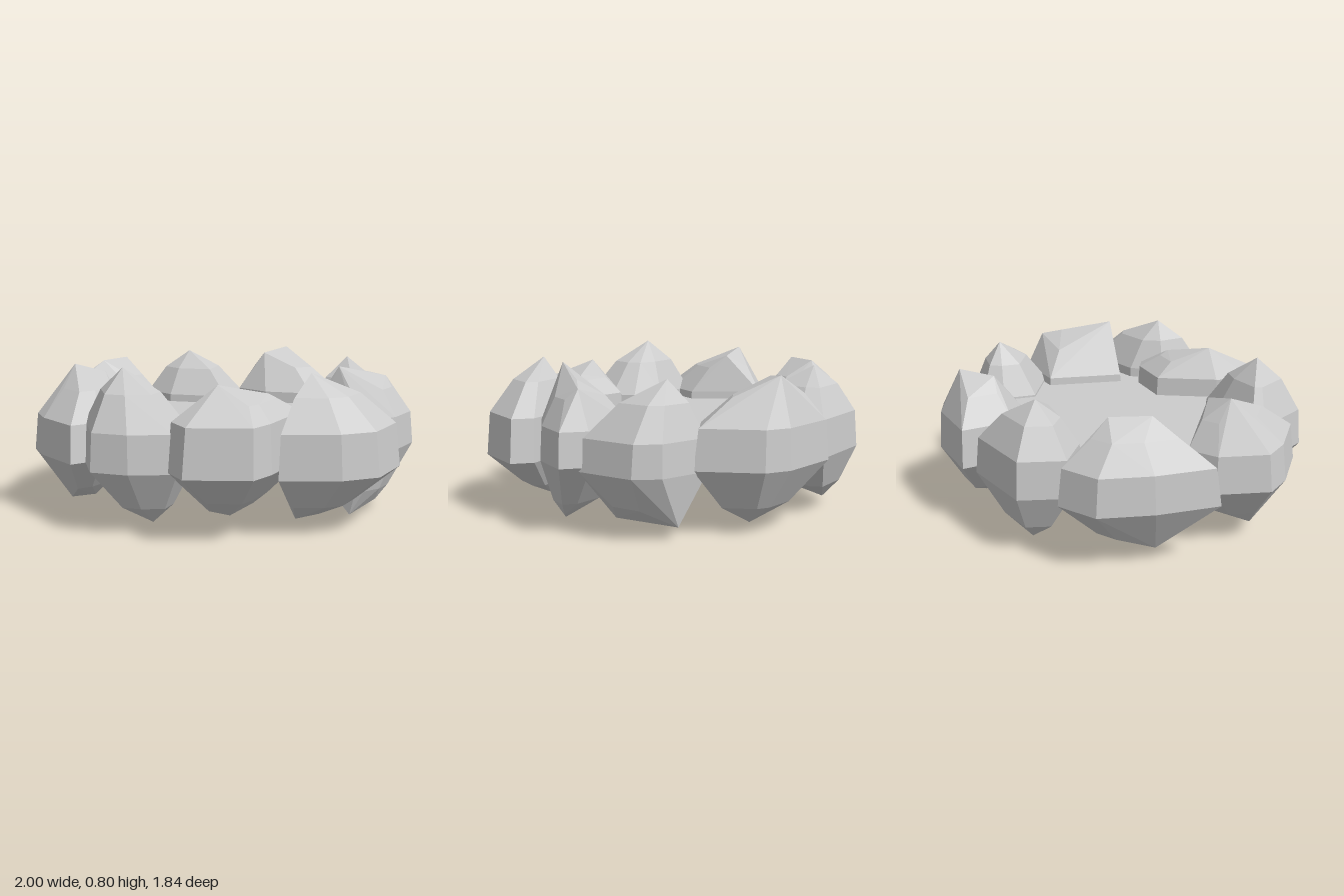
import * as THREE from 'three';
import { ConvexGeometry } from 'three/addons/geometries/ConvexGeometry.js';

const stone = new THREE.MeshStandardMaterial({ color: 0xcccccc, flatShading: true });

const toPoints = (list) => list.map((p) => new THREE.Vector3(...p));

function average(points) {
  const sum = new THREE.Vector3();
  points.forEach((p) => sum.add(p));
  return sum.divideScalar(points.length);
}

// Faceted boulder: a plan outline (x, z pairs) forms the belt between two heights,
// and rings taper from it toward the crown points above and base points below.
function boulder(name, outline, crownList, baseList, beltTop = 0.51, beltBottom = 0.32) {
  const crown = toPoints(crownList);
  const base = toPoints(baseList);
  const top = average(crown);
  const bottom = average(base);
  const points = [...crown, ...base];
  for (let i = 0; i < outline.length; i += 2) {
    const low = new THREE.Vector3(outline[i], beltBottom, outline[i + 1]);
    const high = low.clone().lerp(top, 0.06).setY(beltTop);
    const shoulder = high.clone().lerp(top, 0.43);
    shoulder.y = THREE.MathUtils.lerp(beltTop, top.y, 0.6);
    const under = low.clone().lerp(bottom, 0.5);
    under.y = THREE.MathUtils.lerp(beltBottom, bottom.y, 0.68);
    points.push(low, high, shoulder, under);
  }
  const mesh = new THREE.Mesh(new ConvexGeometry(points), stone);
  mesh.name = name;
  return mesh;
}

export function createModel() {
  const model = new THREE.Group();
  model.name = 'stoneRing';

  // Boulders, clockwise seen from above, starting at the left side
  const ring = new THREE.Group();
  ring.name = 'boulders';
  ring.add(
    boulder('boulderLeft',
      [0.4, 0.28, 0.57, -0.12, 0.89, -0.1, 1, 0, 0.9, 0.2, 0.73, 0.35],
      [[0.59, 0.785, 0.31], [0.76, 0.73, 0.08], [0.85, 0.7, 0]],
      [[0.66, 0, 0.25], [0.8, 0.06, 0.14]], 0.51, 0.34),
    boulder('boulderFrontLeft',
      [0.3, 0.78, 0.6, 0.76, 0.78, 0.67, 0.9, 0.4, 0.81, 0.32, 0.46, 0.36, 0.33, 0.51],
      [[0.45, 0.785, 0.56]],
      [[0.38, 0.05, 0.53], [0.5, 0.07, 0.5]], 0.52, 0.3),
    boulder('boulderFront',
      [-0.23, 0.76, -0.14, 0.92, 0.19, 0.91, 0.27, 0.78, 0.42, 0.4, 0.35, 0.34, 0.1, 0.3, -0.12, 0.57],
      [[0, 0.725, 0.59], [0.24, 0.67, 0.48]],
      [[-0.04, 0.11, 0.64], [0.06, 0.08, 0.6], [0.17, 0.12, 0.5]], 0.57, 0.33),
    boulder('boulderFrontRight',
      [-0.7, 0.42, -0.66, 0.36, -0.35, 0.36, -0.17, 0.43, -0.12, 0.56, -0.18, 0.77, -0.41, 0.8, -0.6, 0.75],
      [[-0.47, 0.8, 0.54]],
      [[-0.32, 0.04, 0.6]]),
    boulder('boulderRight',
      [-0.72, -0.1, -0.88, -0.03, -1, 0.21, -0.93, 0.36, -0.73, 0.59, -0.6, 0.48, -0.48, 0.25],
      [[-0.8, 0.76, 0.1], [-0.64, 0.72, 0.09]],
      [[-0.8, 0.07, 0.25], [-0.68, 0.08, 0.22]]),
    boulder('boulderBackRight',
      [-0.99, -0.09, -0.9, -0.4, -0.78, -0.65, -0.57, -0.73, -0.48, -0.61, -0.38, -0.37, -0.48, -0.2],
      [[-0.62, 0.73, -0.48], [-0.72, 0.73, -0.3]],
      [[-0.77, 0.07, -0.31], [-0.57, 0.07, -0.42]]),
    boulder('boulderBack',
      [-0.53, -0.64, -0.41, -0.86, 0, -0.87, 0.05, -0.75, -0.02, -0.4, -0.37, -0.47],
      [[-0.27, 0.75, -0.67]],
      [[-0.3, 0.05, -0.72]]),
    boulder('boulderBackMiddle',
      [0.05, -0.92, 0.38, -0.89, 0.5, -0.82, 0.65, -0.52, 0.47, -0.42, 0.19, -0.48, 0.02, -0.63],
      [[0.18, 0.74, -0.66], [0.31, 0.765, -0.79]],
      [[0.35, 0.04, -0.65]], 0.53, 0.33),
    boulder('boulderBackLeft',
      [0.44, -0.27, 0.49, -0.45, 0.57, -0.55, 0.83, -0.47, 0.92, -0.36, 0.92, -0.05, 0.7, -0.05],
      [[0.66, 0.755, -0.38]],
      [[0.72, 0.065, -0.12], [0.7, 0.065, -0.47]], 0.48, 0.32)
  );
  model.add(ring);

  // Flat sheet filling the ring
  const sheet = new THREE.Mesh(
    new THREE.CircleGeometry(0.68, 32).rotateX(-Math.PI / 2),
    new THREE.MeshStandardMaterial({ color: 0xcccccc, side: THREE.DoubleSide })
  );
  sheet.name = 'innerSurface';
  sheet.position.y = 0.47;
  model.add(sheet);

  return model;
}
